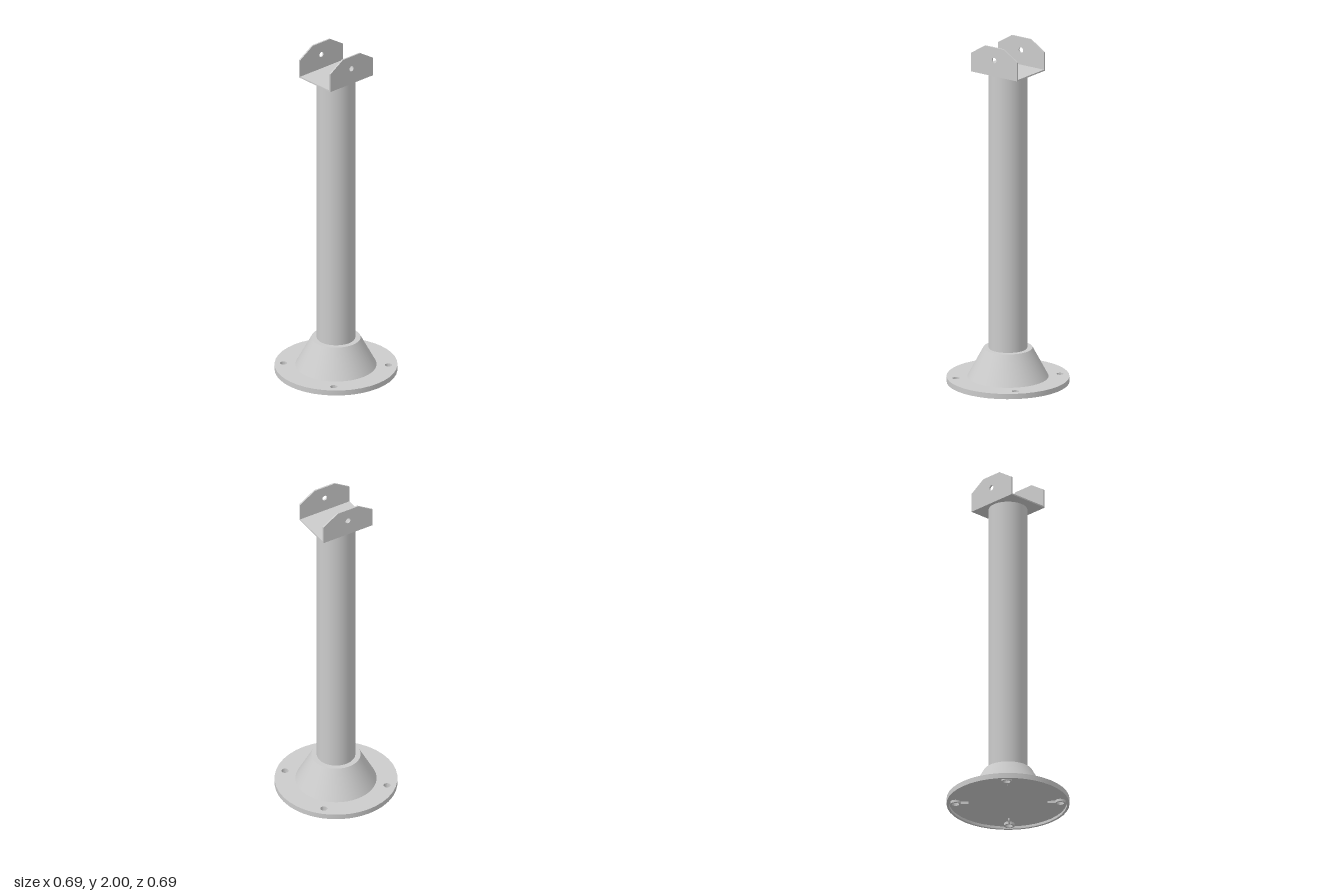
import * as THREE from 'three';
import { toCreasedNormals } from 'three/addons/utils/BufferGeometryUtils.js';

const HOLE_POS = 0.209, HOLE_R = 0.02;

function addHole(shape, x, y, r) {
  shape.holes.push(new THREE.Path().absarc(x, y, r, 0, Math.PI * 2, true));
}

function disc(r, x = 0, y = 0) {
  return new THREE.Shape().absarc(x, y, r, 0, Math.PI * 2, false);
}

export function createModel() {
  const group = new THREE.Group();
  const material = new THREE.MeshStandardMaterial({ color: 0xcccccc });

  const add = (name, geometry, x = 0, y = 0, z = 0) => {
    const mesh = new THREE.Mesh(geometry, material);
    mesh.name = name;
    mesh.position.set(x, y, z);
    group.add(mesh);
    return mesh;
  };
  const extrude = (shape, depth, curveSegments) => toCreasedNormals(
    new THREE.ExtrudeGeometry(shape, { depth, bevelEnabled: false, curveSegments }), 0.5);
  // Horizontal slab whose underside sits at height y
  const addSlab = (name, shape, y, depth, segments) =>
    add(name, extrude(shape, depth, segments).rotateX(-Math.PI / 2), 0, y, 0);

  // Base plate: drilled deck over a thin hanging rim, hollow beneath
  const corners = [[1, 1], [-1, 1], [-1, -1], [1, -1]];
  const deck = disc(0.347);
  corners.forEach(([sx, sy]) => addHole(deck, sx * HOLE_POS, sy * HOLE_POS, HOLE_R));
  addSlab('baseDeck', deck, 0.015, 0.016, 20);
  const rim = disc(0.347);
  addHole(rim, 0, 0, 0.334);
  addSlab('baseRim', rim, 0, 0.015, 20);

  // Screw bosses around the holes, each with a short rib pointing inward
  corners.forEach(([sx, sy]) => {
    const boss = disc(0.03, sx * HOLE_POS, sy * HOLE_POS);
    addHole(boss, sx * HOLE_POS, sy * HOLE_POS, HOLE_R);
    addSlab('screwBoss', boss, 0, 0.015, 12);
    const angle = Math.atan2(sy, sx);
    const rib = add('bossRib', new THREE.BoxGeometry(0.045, 0.015, 0.008),
      Math.cos(angle) * 0.245, 0.0075, -Math.sin(angle) * 0.245);
    rib.rotation.y = angle;
  });

  // Conical collar with a flat top ledge around the post
  const collar = [[0.229, 0.031], [0.139, 0.2], [0.105, 0.2]]
    .map(([r, y]) => new THREE.Vector2(r, y));
  add('collar', toCreasedNormals(new THREE.LatheGeometry(collar, 48), 0.5));

  // Post
  add('post', new THREE.CylinderGeometry(0.109, 0.109, 1.802, 48), 0, 0.93, 0);

  // U-shaped bracket: floor and two chamfered, drilled cheeks
  add('bracketFloor', new THREE.BoxGeometry(0.326, 0.008, 0.244), 0, 1.834, 0);
  const cheek = new THREE.Shape([
    [-0.163, 1.83], [0.163, 1.83], [0.163, 1.94],
    [0.066, 2], [-0.066, 2], [-0.163, 1.94],
  ].map(([x, y]) => new THREE.Vector2(x, y)));
  addHole(cheek, 0, 1.924, 0.016);
  add('frontCheek', extrude(cheek, 0.009, 12), 0, 0, 0.121);
  add('backCheek', extrude(cheek, 0.009, 12), 0, 0, -0.13);

  return group;
}
